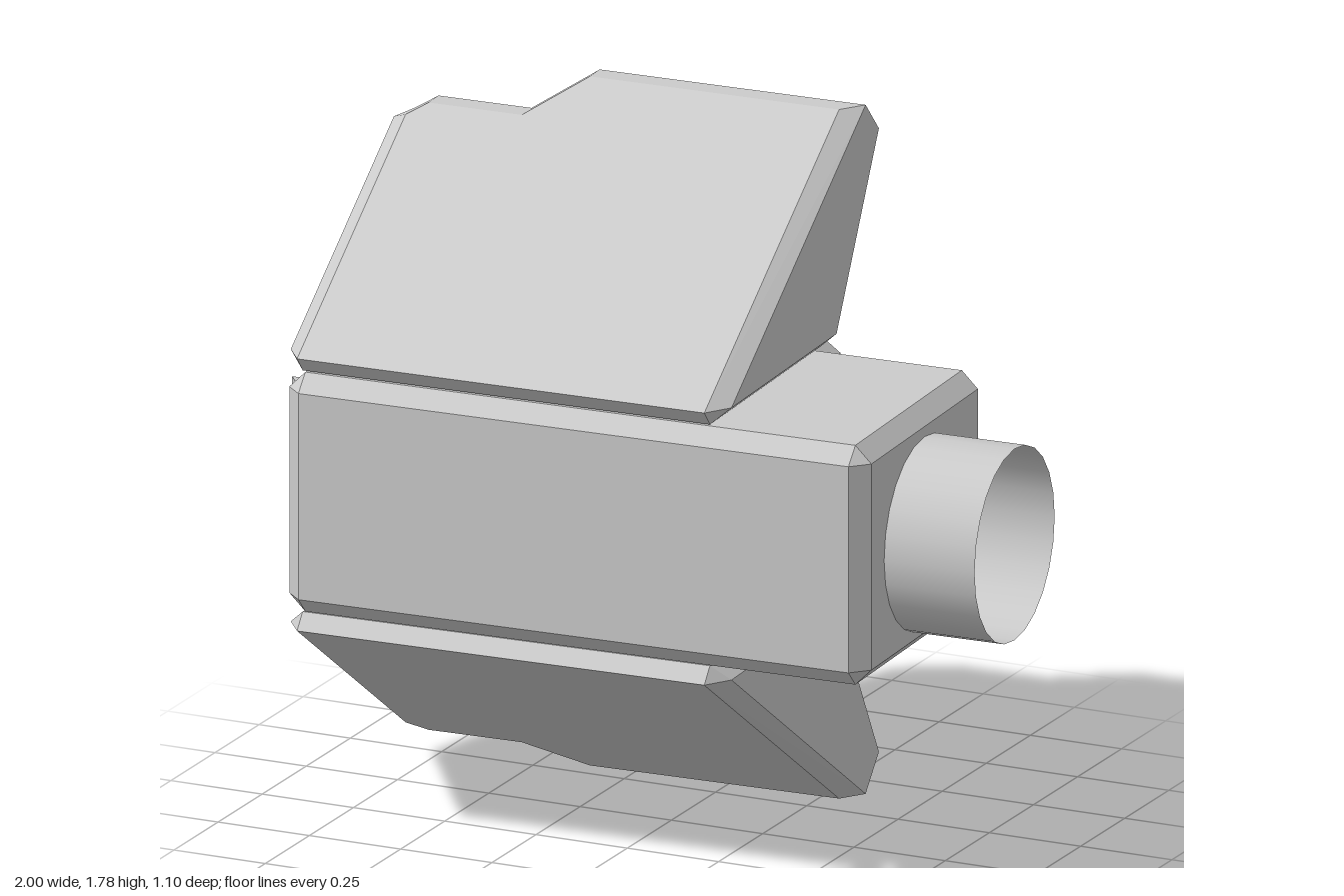
import * as THREE from 'three';
import { ConvexGeometry } from 'three/addons/geometries/ConvexGeometry.js';

const flat = new THREE.MeshStandardMaterial({ color: 0xcccccc, flatShading: true, side: THREE.DoubleSide });
const smooth = new THREE.MeshStandardMaterial({ color: 0xcccccc, side: THREE.DoubleSide });

function part(name, geometry, material = flat) {
  const mesh = new THREE.Mesh(geometry, material);
  mesh.name = name;
  return mesh;
}

// Skin a row of equal-length rings and cap both ends; "open" leaves out each ring's closing side.
function loft(rings, open = false) {
  const pos = [];
  const tri = (a, b, c) => pos.push(...a, ...b, ...c);
  const n = rings[0].length;
  for (let i = 0; i < rings.length - 1; i++) {
    for (let j = 0; j < (open ? n - 1 : n); j++) {
      const k = (j + 1) % n;
      const [a, b, c, d] = [rings[i][j], rings[i][k], rings[i + 1][k], rings[i + 1][j]];
      tri(a, d, c);
      tri(a, c, b);
    }
  }
  const first = rings[0], last = rings[rings.length - 1];
  for (let j = 1; j < n - 1; j++) {
    tri(first[0], first[j], first[j + 1]);
    tri(last[0], last[j + 1], last[j]);
  }
  const g = new THREE.BufferGeometry();
  g.setAttribute('position', new THREE.Float32BufferAttribute(pos, 3));
  g.computeVertexNormals();
  return g;
}

// Box with every edge cut at 45 degrees.
function chamferBox(w, h, d, c) {
  const pts = [];
  for (const x of [-w / 2, w / 2]) for (const y of [-h / 2, h / 2]) for (const z of [-d / 2, d / 2]) {
    for (let axis = 0; axis < 3; axis++) {
      const p = [x, y, z].map((v, i) => (i === axis ? v : v - Math.sign(v) * c));
      pts.push(new THREE.Vector3(...p));
    }
  }
  return new ConvexGeometry(pts);
}

// Wing cross-section at x; end sections drop the front and bottom bevels.
function wingSection([x, top, back, end]) {
  const rise = top - 1.245;
  const rim = [0.445 - rise * 1.537, top];
  const backTop = [back, 1.245 + (-0.205 - back) * 1.737];
  const outline = end
    ? [[0.445, 1.245], rim, rim, backTop, [-0.205, 1.245], [-0.205, 1.245], [0.445, 1.245]]
    : [[0.51, 1.245], [0.51 - rise * 1.545, top], rim, backTop, [-0.205, 1.245], [-0.205, 1.205], [0.475, 1.205]];
  return outline.map(([z, y]) => [x, y, z]);
}

export function createModel() {
  const model = new THREE.Group();
  model.name = 'model';
  const body = new THREE.Group();
  body.name = 'assembly';
  body.rotation.y = 0.04;
  model.add(body);

  // Main housing
  const housing = part('housing', chamferBox(1.565, 0.62, 0.745, 0.043));
  housing.position.set(-0.0375, 0.892, 0.1475);
  body.add(housing);

  // Open tube on the left end
  const tubeGeo = new THREE.CylinderGeometry(0.248, 0.248, 0.25, 24, 1, true);
  tubeGeo.rotateZ(-Math.PI / 2);
  const tube = part('tube', tubeGeo, smooth);
  tube.position.set(0.863, 0.885, 0.15);
  body.add(tube);

  // Upper wing and its mirrored lower twin
  const wingGeo = loft([
    [-0.83, 1.66, -0.375, true],
    [-0.785, 1.68, -0.39],
    [-0.74, 1.705, -0.41],
    [-0.49, 1.705, -0.41],
    [-0.36, 1.785, -0.467],
    [0.31, 1.785, -0.467],
    [0.355, 1.785, -0.467, true],
  ].map(wingSection));
  body.add(part('upperWing', wingGeo));
  const lower = part('lowerWing', wingGeo);
  lower.scale.y = -1;
  lower.position.y = 1.785;
  body.add(lower);

  // Back cover, bevelled above and below, open at its right end
  const wide = [[-0.62, -0.555], [0.03, -0.55], [0.32, -0.31], [0.32, -0.2], [-0.62, -0.2]];
  const narrow = [[-0.62, -0.5], [0.005, -0.5], [0.27, -0.29], [0.27, -0.2], [-0.62, -0.2]];
  const level = (ring, y) => ring.map(([x, z]) => [x, y, z]);
  body.add(part('backCover', loft([
    level(narrow, 0.565), level(wide, 0.615), level(wide, 1.16), level(narrow, 1.21),
  ], true)));

  // Side hood on the right end, open to the back
  const hood = [[-0.815, 0.045], [-0.815, 0.23], [-0.875, 0.23], [-1.0, 0.045]];
  body.add(part('sideHood', loft([level(hood, 0.72), level(hood, 1.035)], true)));

  return model;
}
